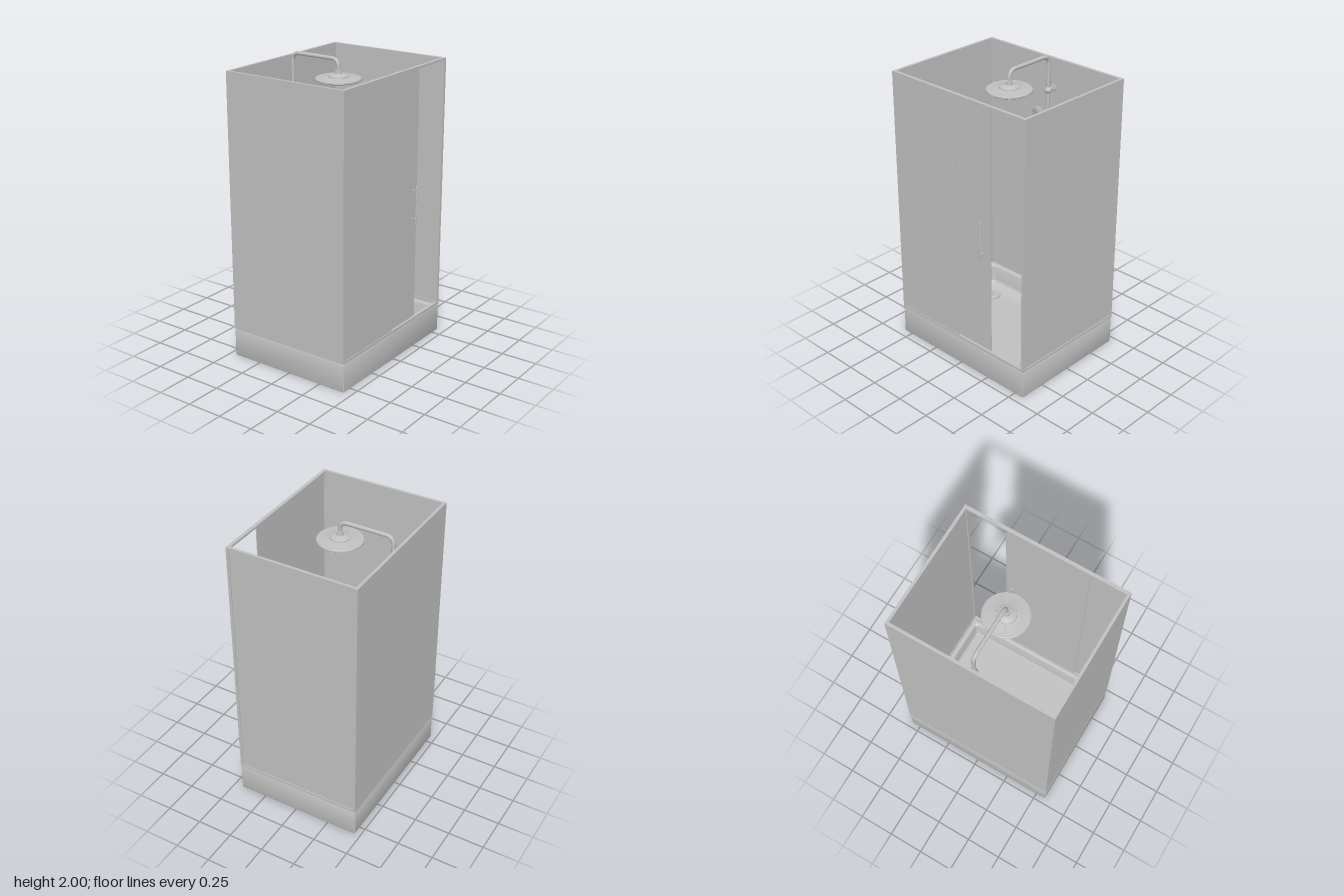
import * as THREE from 'three';
import { toCreasedNormals } from 'three/addons/utils/BufferGeometryUtils.js';

const grey = new THREE.MeshStandardMaterial({ color: 0xc0c0c0 });
grey.name = 'neutral grey';

const V = (x, y, z) => new THREE.Vector3(x, y, z);
const X = 0.572, BACK = -0.46, FRONT = 0.442, ZC = (BACK + FRONT) / 2, TRAY = 0.195, TOP = 1.958;
const DRAIN = { x: -0.39, z: -0.265, r: 0.058 };

export function createModel() {
  const root = new THREE.Group();
  root.name = 'showerCabin';

  const add = (name, geometry, x = 0, y = 0, z = 0) => {
    const m = new THREE.Mesh(geometry, grey);
    m.name = name;
    m.position.set(x, y, z);
    root.add(m);
    return m;
  };
  // Box given by its limits on each axis
  const box = (name, x0, x1, y0, y1, z0, z1) =>
    add(name, new THREE.BoxGeometry(x1 - x0, y1 - y0, z1 - z0), (x0 + x1) / 2, (y0 + y1) / 2, (z0 + z1) / 2);
  // Cylinder running from a to b
  const rod = (name, a, b, r0, r1 = r0, seg = 20) => {
    const d = b.clone().sub(a);
    const m = add(name, new THREE.CylinderGeometry(r1, r0, d.length(), seg));
    m.position.copy(a).addScaledVector(d, 0.5);
    m.quaternion.setFromUnitVectors(V(0, 1, 0), d.normalize());
    return m;
  };
  const tube = (name, path, r, n) => add(name, new THREE.TubeGeometry(path, n, r, 12));

  // Tray: rounded rectangle loops from the underside over the rim to the floor
  add('tray', trayGeometry());

  // Solid back and side walls
  box('backWall', -X, X, TRAY, TOP, BACK, BACK + 0.02);
  box('sideWall', -X, -X + 0.018, TRAY, TOP, BACK + 0.02, FRONT - 0.02);

  // Framed side panel
  const F = 0.02;
  box('sidePanel', X - 0.014, X - 0.006, TRAY + 0.01, TOP - 0.01, BACK + 0.01, FRONT - 0.01);
  for (const [y0, y1] of [[TRAY, TRAY + F], [TOP - F * 0.7, TOP]]) {
    box('sideRail', X - F, X, y0, y1, BACK + F, FRONT - F);
    box('frontRail', -X + F, X - F, y0, y1, FRONT - F - 0.004, FRONT);
  }
  box('backPost', X - F, X + 0.0005, TRAY, TOP, BACK + 0.001, BACK + F);
  for (const s of [-1, 1])
    box('frontPost', s * (X - F / 2) - F / 2, s * (X - F / 2) + F / 2, TRAY, TOP, FRONT - F, FRONT);

  // Fixed front pane with the sliding door behind it
  box('fixedPane', -X + F, -0.018, TRAY + 0.015, TOP - 0.012, 0.432, 0.438);
  box('slidingDoor', -0.308, 0.272, TRAY + 0.015, TOP - 0.012, 0.42, 0.427);

  // Door pull on both faces
  for (const z of [0.459, 0.403])
    rod('doorHandle', V(0.218, 0.91, z), V(0.218, 1.168, z), 0.0065, 0.0065, 14);
  for (const y of [0.94, 1.138])
    rod('handleStud', V(0.218, y, 0.403), V(0.218, y, 0.459), 0.004, 0.004, 10);

  // Floor drain with a ring of petals
  add('drainRim', new THREE.CylinderGeometry(DRAIN.r, DRAIN.r, 0.012, 40), DRAIN.x, 0.05, DRAIN.z);
  add('drainCap', new THREE.CylinderGeometry(0.046, 0.05, 0.006, 40), DRAIN.x, 0.058, DRAIN.z);
  for (let i = 0; i < 12; i++) {
    const a = i * Math.PI / 6;
    const petal = add('drainPetal', new THREE.SphereGeometry(1, 10, 6),
      DRAIN.x + 0.021 * Math.cos(a), 0.061, DRAIN.z + 0.021 * Math.sin(a));
    petal.scale.set(0.013, 0.003, 0.004);
    petal.rotation.y = -a;
  }

  // Riser and overhead arm with rounded bends
  const px = 0.01, pz = -0.39, hz = -0.02, top = 1.986, b = 0.055;
  const pipe = new THREE.CurvePath();
  pipe.add(new THREE.LineCurve3(V(px, 0.95, pz), V(px, top - b, pz)));
  pipe.add(new THREE.QuadraticBezierCurve3(V(px, top - b, pz), V(px, top, pz), V(px, top, pz + b)));
  pipe.add(new THREE.LineCurve3(V(px, top, pz + b), V(px, top, hz - b)));
  pipe.add(new THREE.QuadraticBezierCurve3(V(px, top, hz - b), V(px, top, hz), V(px, top - b, hz)));
  pipe.add(new THREE.LineCurve3(V(px, top - b, hz), V(px, 1.885, hz)));
  tube('riserPipe', pipe, 0.0135, 160);

  // Rain head: thin disc with a domed collar
  const P = (x, y) => new THREE.Vector2(x, y);
  add('rainHead', toCreasedNormals(new THREE.LatheGeometry([
    P(0, -0.012), P(0.143, -0.012), P(0.15, -0.007), P(0.15, 0.003), P(0.145, 0.007),
    P(0.065, 0.011), P(0.063, 0.02), P(0.045, 0.029), P(0.024, 0.034), P(0.022, 0.055), P(0, 0.055),
  ], 48), 0.6), px, 1.86, hz);

  // Wall bracket and slider for the hand shower
  rod('wallBracket', V(px, 1.75, BACK + 0.02), V(px, 1.75, pz), 0.012);
  rod('bracketPlate', V(px, 1.75, BACK + 0.02), V(px, 1.75, BACK + 0.03), 0.026);
  add('bracketBall', new THREE.SphereGeometry(0.025, 20, 14), px, 1.75, pz);
  rod('slider', V(px, 1.51, pz), V(px, 1.56, pz), 0.021);
  rod('sliderArm', V(px + 0.035, 1.535, pz), V(-0.06, 1.535, pz), 0.011);

  // Hand shower
  rod('handGrip', V(-0.04, 1.43, -0.402), V(-0.05, 1.575, -0.385), 0.009, 0.013);
  const head = add('handHead', toCreasedNormals(new THREE.LatheGeometry([
    P(0, -0.024), P(0.015, -0.022), P(0.034, -0.01), P(0.044, 0), P(0.044, 0.007), P(0.039, 0.01), P(0, 0.01),
  ], 32), 0.6), -0.05, 1.585, -0.362);
  head.rotation.x = Math.PI / 2 + 0.2;
  const ring = add('sprayRing', new THREE.TorusGeometry(0.024, 0.003, 8, 28), -0.05, 1.583, -0.352);
  ring.rotation.x = 0.2;

  // Hanging hose
  tube('hose', new THREE.CatmullRomCurve3([
    V(-0.04, 1.43, -0.402), V(-0.05, 1.3, -0.402), V(-0.1, 1.08, -0.4), V(-0.16, 0.87, -0.4),
    V(-0.172, 0.74, -0.4), V(-0.135, 0.63, -0.4), V(-0.07, 0.6, -0.4), V(-0.015, 0.66, -0.4),
    V(0.005, 0.78, -0.395), V(0.01, 0.92, -0.39),
  ]), 0.006, 100);

  // Mixer valve
  box('mixerPlate', -0.03, 0.045, 0.89, 1.01, BACK + 0.02, BACK + 0.03);
  box('mixerBody', -0.02, 0.04, 0.915, 0.985, BACK + 0.03, -0.345);
  rod('mixerKnob', V(px, 0.95, -0.345), V(px, 0.95, -0.308), 0.03, 0.026, 28);
  rod('mixerLever', V(px, 0.95, -0.322), V(-0.05, 0.965, -0.315), 0.008, 0.006, 12);

  return root;
}

function trayGeometry() {
  const C = 7, n = C * 4;
  // Rounded rectangle loop, inset from the outside
  const loop = (inset, y, r) => {
    const hx = X - inset - r, hz = (FRONT - BACK) / 2 - inset - r, pts = [];
    for (let k = 0; k < 4; k++)
      for (let i = 0; i < C; i++) {
        const a = (k + i / (C - 1)) * Math.PI / 2;
        const sx = k === 0 || k === 3 ? 1 : -1, sz = k < 2 ? 1 : -1;
        pts.push([sx * hx + r * Math.cos(a), y, ZC + sz * hz + r * Math.sin(a)]);
      }
    return pts;
  };
  const floor = loop(0.068, 0.066, 0.025);
  // The floor falls towards the drain circle
  const drain = floor.map(([x, , z]) => {
    const a = Math.atan2(z - DRAIN.z, x - DRAIN.x);
    return [DRAIN.x + DRAIN.r * Math.cos(a), 0.047, DRAIN.z + DRAIN.r * Math.sin(a)];
  });
  const rings = [
    Array(n).fill([0, 0, ZC]), loop(0.002, 0, 0.01), loop(0, 0.004, 0.01), loop(0, 0.188, 0.01),
    loop(0.003, 0.194, 0.01), loop(0.035, 0.194, 0.015), loop(0.044, 0.191, 0.02), loop(0.05, 0.183, 0.025),
    loop(0.058, 0.09, 0.03), loop(0.061, 0.074, 0.028), floor, drain,
  ];
  const index = [];
  for (let j = 0; j < rings.length - 1; j++)
    for (let i = 0; i < n; i++) {
      const a = j * n + i, a2 = j * n + (i + 1) % n;
      if (j > 0) index.push(a, a + n, a2);
      index.push(a2, a + n, a2 + n);
    }
  const g = new THREE.BufferGeometry();
  g.setAttribute('position', new THREE.Float32BufferAttribute(rings.flat(2), 3));
  g.setIndex(index);
  return toCreasedNormals(g, 0.6);
}
